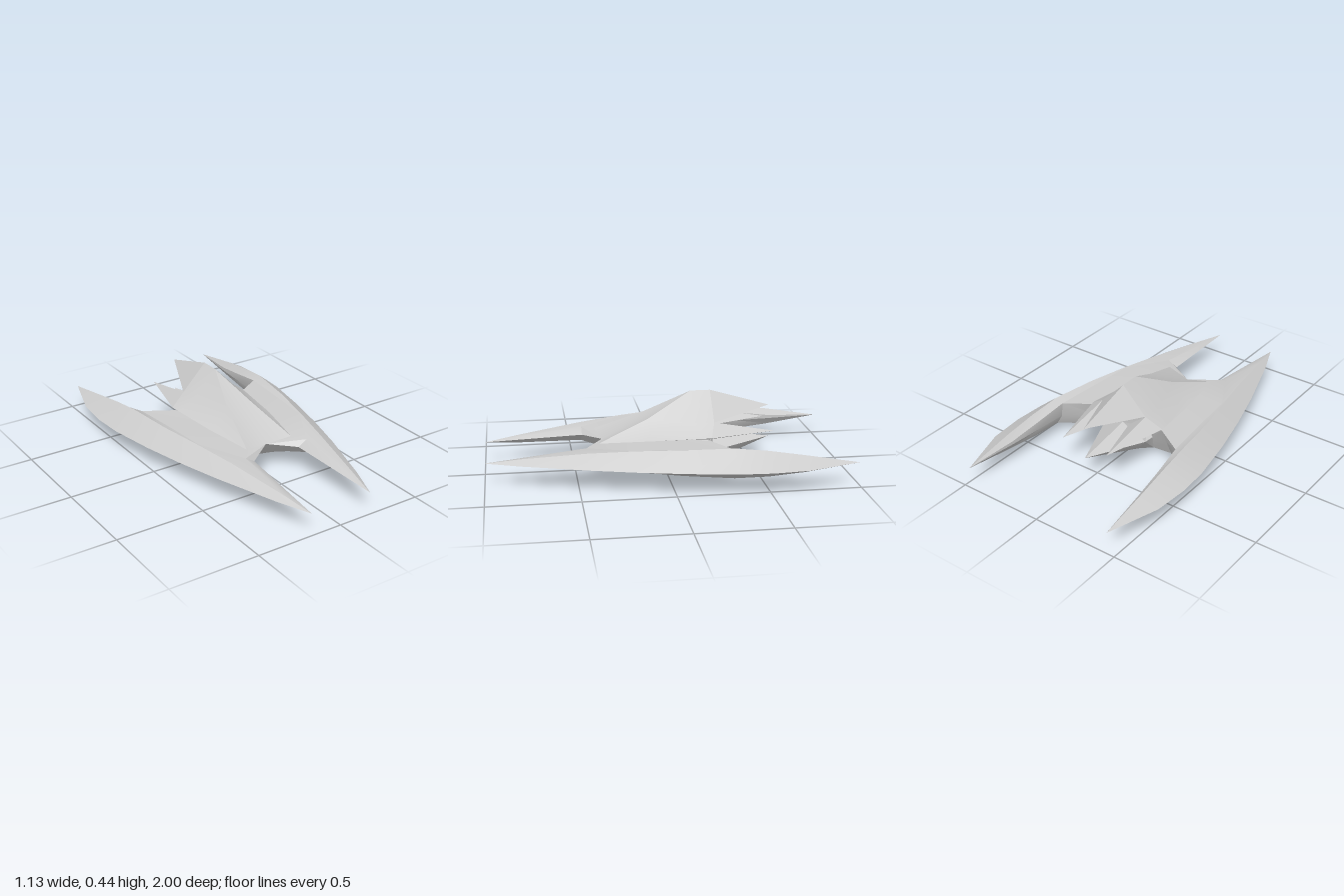
import * as THREE from 'three';
import { toCreasedNormals } from 'three/addons/utils/BufferGeometryUtils.js';

const material = new THREE.MeshStandardMaterial({ color: 0xcccccc, side: THREE.DoubleSide });

// Skin a grid of points (rows run front to back) on both sides of the centre plane.
function mirroredSkin(name, grids, crease = 0.55) {
  const pos = [];
  const tri = (a, b, c, flip) => {
    const [p, q, r] = [a, b, c].map((v) => new THREE.Vector3(...v));
    if (q.clone().sub(p).cross(r.clone().sub(p)).length() < 1e-7) return;
    for (const v of flip ? [p, r, q] : [p, q, r]) pos.push(v.x, v.y, v.z);
  };
  for (const { rows, flip = false, closed = false } of grids) {
    for (const side of [1, -1]) {
      const pts = rows.map((row) => row.map(([x, y, z]) => [x * side, y, z]));
      const reverse = side < 0 ? !flip : flip;
      const n = pts[0].length;
      for (let i = 0; i < pts.length - 1; i++) {
        for (let j = 0; j < (closed ? n : n - 1); j++) {
          const k = (j + 1) % n;
          tri(pts[i][j], pts[i][k], pts[i + 1][k], reverse);
          tri(pts[i][j], pts[i + 1][k], pts[i + 1][j], reverse);
        }
      }
    }
  }
  const geometry = new THREE.BufferGeometry();
  geometry.setAttribute('position', new THREE.Float32BufferAttribute(pos, 3));
  const mesh = new THREE.Mesh(toCreasedNormals(geometry, crease), material);
  mesh.name = name;
  return mesh;
}

export function createModel() {
  const group = new THREE.Group();
  group.name = 'spacecraft';

  // Crescent blades: z, outer x, ridge x/y, shoulder x/y, inner x/y, keel x/y
  const bladeStations = [
    [1, 0.185, 0.185, 0.13, 0.185, 0.13, 0.185, 0.13, 0.185, 0.13],
    [0.8, 0.265, 0.222, 0.157, 0.192, 0.154, 0.171, 0.142, 0.21, 0.113],
    [0.45, 0.38, 0.292, 0.195, 0.2, 0.195, 0.145, 0.163, 0.26, 0.096],
    [0.2, 0.45, 0.345, 0.213, 0.338, 0.212, 0.3, 0.13, 0.32, 0.088],
    [-0.05, 0.508, 0.395, 0.223, 0.36, 0.214, 0.35, 0.13, 0.385, 0.076],
    [-0.32, 0.555, 0.43, 0.232, 0.385, 0.212, 0.39, 0.13, 0.43, 0.065],
    [-0.5, 0.565, 0.441, 0.214, 0.403, 0.18, 0.404, 0.13, 0.44, 0.069],
    [-0.7, 0.55, 0.45, 0.183, 0.42, 0.15, 0.42, 0.13, 0.45, 0.088],
    [-1, 0.455, 0.455, 0.13, 0.455, 0.13, 0.455, 0.13, 0.455, 0.13],
  ];
  const blades = bladeStations.map(([z, xo, xr, yr, xs, ys, xi, yi, xk, yk]) => [
    [xo, 0.13, z], [xr, yr, z], [xs, ys, z], [xi, yi, z], [xk, yk, z],
  ]);
  group.add(mirroredSkin('blades', [{ rows: blades, flip: true, closed: true }]));

  // Deck joining the blades to the tower
  const deck = [
    [[0.145, 0.2, 0.38], [0.2, 0.195, 0.45]],
    [[0.15, 0.208, 0.2], [0.338, 0.212, 0.2]],
    [[0.17, 0.214, -0.05], [0.36, 0.214, -0.05]],
    [[0.225, 0.215, -0.22], [0.385, 0.212, -0.32]],
  ];
  // Lip between the fork and the tower foot
  const lip = [
    [[0, 0.18, 0.35], [0.145, 0.163, 0.45]],
    [[0.145, 0.2, 0.38], [0.2, 0.195, 0.45]],
  ];
  group.add(mirroredSkin('deck', [{ rows: deck }, { rows: lip }]));

  // Belly: undercut nose and shallow keel
  const belly = [
    [[0, 0.18, 0.35], [0.075, 0.172, 0.4], [0.145, 0.163, 0.45], [0.145, 0.163, 0.45]],
    [[0, 0.088, 0.28], [0.07, 0.094, 0.31], [0.14, 0.1, 0.36], [0.26, 0.096, 0.45]],
    [[0, 0.015, 0.12], [0.12, 0.045, 0.15], [0.23, 0.07, 0.18], [0.32, 0.088, 0.2]],
    [[0, 0.003, -0.155], [0.125, 0.028, -0.155], [0.26, 0.047, -0.155], [0.4, 0.071, -0.155]],
    [[0, 0.003, -0.155], [0.125, 0.028, -0.155], [0.26, 0.047, -0.165], [0.43, 0.065, -0.32]],
  ];
  // Stern wall under the deck, from the belly edge up to the deck edge
  const stern = [
    [[0.125, 0.028, -0.155], [0.26, 0.047, -0.165], [0.43, 0.065, -0.32]],
    [[0.15, 0.13, -0.2], [0.245, 0.13, -0.2], [0.39, 0.13, -0.325]],
    [[0.15, 0.215, -0.24], [0.225, 0.215, -0.22], [0.385, 0.212, -0.32]],
  ];
  group.add(mirroredSkin('belly', [{ rows: belly, flip: true }, { rows: stern, flip: true }]));

  // Tower: sloping front face, flared sides and a narrow undercut
  const towerFront = [
    [[0, 0.18, 0.35], [0.145, 0.2, 0.38]],
    [[0, 0.303, 0.1], [0.08, 0.31, 0.1]],
    [[0, 0.44, -0.15], [0, 0.44, -0.15]],
  ];
  const towerSide = [
    [[0.145, 0.2, 0.38], [0.145, 0.2, 0.38], [0.145, 0.2, 0.38], [0.145, 0.2, 0.38]],
    [[0.08, 0.31, 0.1], [0.14, 0.25, 0.1], [0.2, 0.217, 0.1], [0.16, 0.21, 0.1]],
    [[0, 0.44, -0.15], [0.145, 0.293, -0.15], [0.23, 0.228, -0.17], [0.19, 0.214, -0.15]],
    [[0, 0.44, -0.26], [0.145, 0.292, -0.26], [0.236, 0.23, -0.23], [0.2, 0.214, -0.22]],
  ];
  group.add(mirroredSkin('tower', [{ rows: towerFront }, { rows: towerSide }]));

  // Rear spikes: each tapers from a closed base outline to a single tip
  const spike = (base, tip) => ({ rows: [base, base.map(() => tip)], closed: true });
  group.add(mirroredSkin('centreSpike', [
    spike([[0, 0.44, -0.26], [0.145, 0.292, -0.26], [0, 0.28, -0.26]], [0, 0.34, -0.6]),
  ]));
  group.add(mirroredSkin('sideSpikes', [
    spike(
      [[0.145, 0.292, -0.26], [0.236, 0.23, -0.23], [0.2, 0.214, -0.22], [0.05, 0.218, -0.28]],
      [0.145, 0.23, -0.6],
    ),
  ]));

  // Lower spike continuing the keel behind the stern wall
  const keelBlock = [
    [[0, 0.003, -0.155], [0.125, 0.028, -0.155], [0.15, 0.13, -0.2]],
    [[0, 0.01, -0.25], [0.09, 0.06, -0.25], [0.145, 0.13, -0.26]],
  ];
  const lowerSpike = spike(
    [[0, 0.21, -0.27], [0.145, 0.13, -0.26], [0.09, 0.06, -0.25], [0, 0.01, -0.25]],
    [0, 0.155, -0.6],
  );
  group.add(mirroredSkin('lowerSpike', [{ rows: keelBlock, flip: true }, lowerSpike]));

  // Recessed wall closing the tower between the spikes
  const rearWall = [
    [[0, 0.21, -0.27], [0.145, 0.13, -0.26]],
    [[0, 0.21, -0.27], [0.15, 0.215, -0.24]],
    [[0, 0.3, -0.26], [0.145, 0.292, -0.26]],
  ];
  group.add(mirroredSkin('rearWall', [{ rows: rearWall, flip: true }]));

  return group;
}
